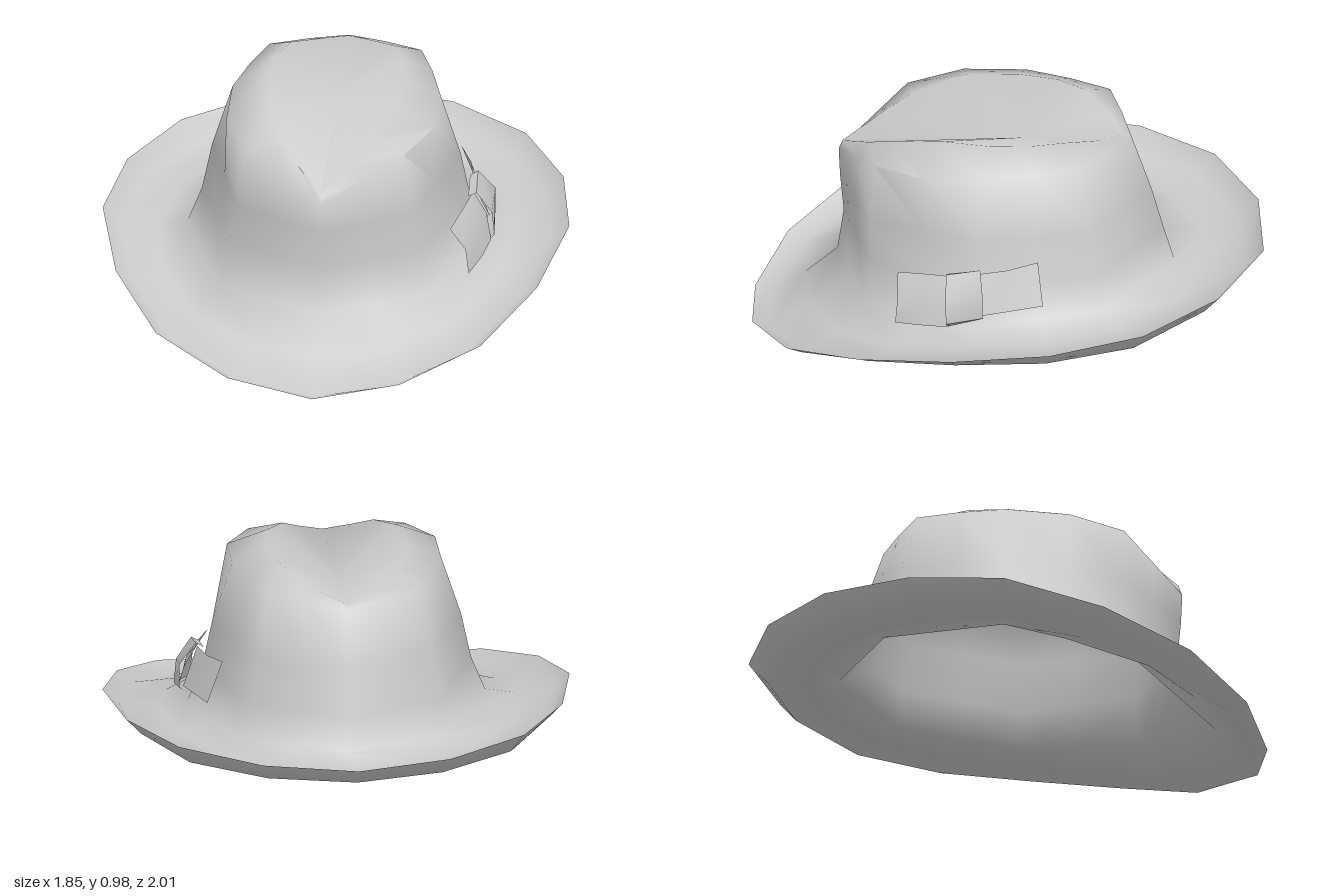
import * as THREE from 'three';
import { toCreasedNormals } from 'three/addons/utils/BufferGeometryUtils.js';

const material = new THREE.MeshStandardMaterial({ color: 0xcccccc, side: THREE.DoubleSide });

// Surface through equally long rows of points; creased where faces fold sharply.
function loft(name, rows, closed, crease) {
  const n = rows[0].length;
  const index = [];
  for (let i = 0; i < rows.length - 1; i++) {
    for (let k = 0; k < (closed ? n : n - 1); k++) {
      const a = i * n + k, b = i * n + (k + 1) % n;
      index.push(a, b, a + n);
      // The last closed row is a single point, so it only needs a fan.
      if (!closed || i < rows.length - 2) index.push(b, (b + n), a + n);
    }
  }
  const g = new THREE.BufferGeometry();
  g.setAttribute('position', new THREE.Float32BufferAttribute(rows.flat(2), 3));
  g.setIndex(index);
  const mesh = new THREE.Mesh(toCreasedNormals(g, crease), material);
  mesh.name = name;
  return mesh;
}

// Half outline of 9 points [x, y, z], front to back, completed by its mirror image.
const mirror = half => [...half, ...half.slice(1, -1).reverse().map(([x, y, z]) => [-x, y, z])];

// Oval half ring: half width, front and back length, height at front, side and back.
function oval(w, front, back, yFront, ySide, yBack) {
  const half = [];
  for (let k = 0; k <= 8; k++) {
    const t = k * Math.PI / 8, c = Math.cos(t);
    const y = ySide + (c > 0 ? yFront - ySide : yBack - ySide) * Math.abs(c);
    half.push([w * Math.sin(t), y, c * (c > 0 ? front : back)]);
  }
  return half;
}

// Every second point moved midway between its neighbours, giving an eight-sided ring.
const octagon = half => half.map((p, k) =>
  k % 2 ? p.map((_, j) => (half[k - 1][j] + half[k + 1][j]) / 2) : p);

export function createModel() {
  const group = new THREE.Group();
  group.name = 'hat';

  // Brim edge, dipping at the front, with a small upturned lip
  const edge = [
    [0, 0.02, 1.0], [0.34, 0.07, 0.94], [0.64, 0.16, 0.74], [0.83, 0.27, 0.41], [0.92, 0.365, 0.02],
    [0.86, 0.405, -0.36], [0.68, 0.43, -0.70], [0.37, 0.445, -0.94], [0, 0.45, -1.04],
  ];
  const drop = [0.02, 0.03, 0.04, 0.04, 0.055, 0.075, 0.09, 0.085, 0.08];
  const lip = edge.map(([x, y, z], k) => [x * 0.93, y - drop[k], z * 0.93]);

  // Rounded shoulder of the crown, pinched in towards a low nose at the front
  const shoulder = [
    [0, 0.70, 0.665], [0.16, 0.77, 0.56], [0.31, 0.84, 0.455], [0.41, 0.87, 0.25], [0.41, 0.90, 0],
    [0.36, 0.915, -0.19], [0.30, 0.925, -0.36], [0.15, 0.92, -0.44], [0, 0.91, -0.51],
  ];
  // Ridge around the dent in the top
  const ridge = [
    [0, 0.74, 0.65], [0.10, 0.81, 0.53], [0.18, 0.88, 0.41], [0.25, 0.95, 0.20], [0.27, 0.965, 0],
    [0.25, 0.975, -0.16], [0.20, 0.975, -0.28], [0.10, 0.94, -0.40], [0, 0.92, -0.48],
  ];
  const dent = ridge.map(() => [0, 0.85, -0.08]);

  const body = loft('brimAndCrown', [
    edge, lip,
    oval(0.70, 0.80, 0.80, 0.11, 0.30, 0.345),
    octagon(oval(0.585, 0.67, 0.68, 0.24, 0.32, 0.37)),
    octagon(oval(0.53, 0.645, 0.64, 0.42, 0.46, 0.50)),
    octagon(oval(0.49, 0.66, 0.59, 0.58, 0.65, 0.68)),
    shoulder, ridge, dent,
  ].map(mirror), true, 1.2);
  // The hat is worn slightly turned
  body.rotation.y = -0.347;
  group.add(body);

  // Bow on the side: two flat tails and a bent knot (rows run from top to bottom)
  const bow = new THREE.Group();
  bow.name = 'bow';
  bow.add(
    loft('frontTail', [
      [[0.34, 0.47, 0.47], [0.42, 0.50, 0.36], [0.49, 0.52, 0.25]],
      [[0.40, 0.38, 0.48], [0.48, 0.42, 0.37], [0.54, 0.43, 0.26]],
      [[0.41, 0.28, 0.49], [0.49, 0.31, 0.40], [0.55, 0.33, 0.30]],
    ], false, 1),
    loft('rearTail', [
      [[0.50, 0.53, 0.22], [0.53, 0.56, 0.06], [0.52, 0.58, -0.06]],
      [[0.57, 0.38, 0.20], [0.58, 0.40, 0.06], [0.59, 0.42, -0.07]],
    ], false, 1),
    loft('knot', [
      [[0.46, 0.52, 0.29], [0.50, 0.55, 0.16]],
      [[0.49, 0.535, 0.30], [0.53, 0.57, 0.17]],
      [[0.55, 0.45, 0.31], [0.60, 0.49, 0.17]],
      [[0.56, 0.35, 0.31], [0.60, 0.39, 0.17]],
      [[0.53, 0.32, 0.30], [0.57, 0.37, 0.16]],
    ], false, 0.7),
  );
  group.add(bow);
  return group;
}
